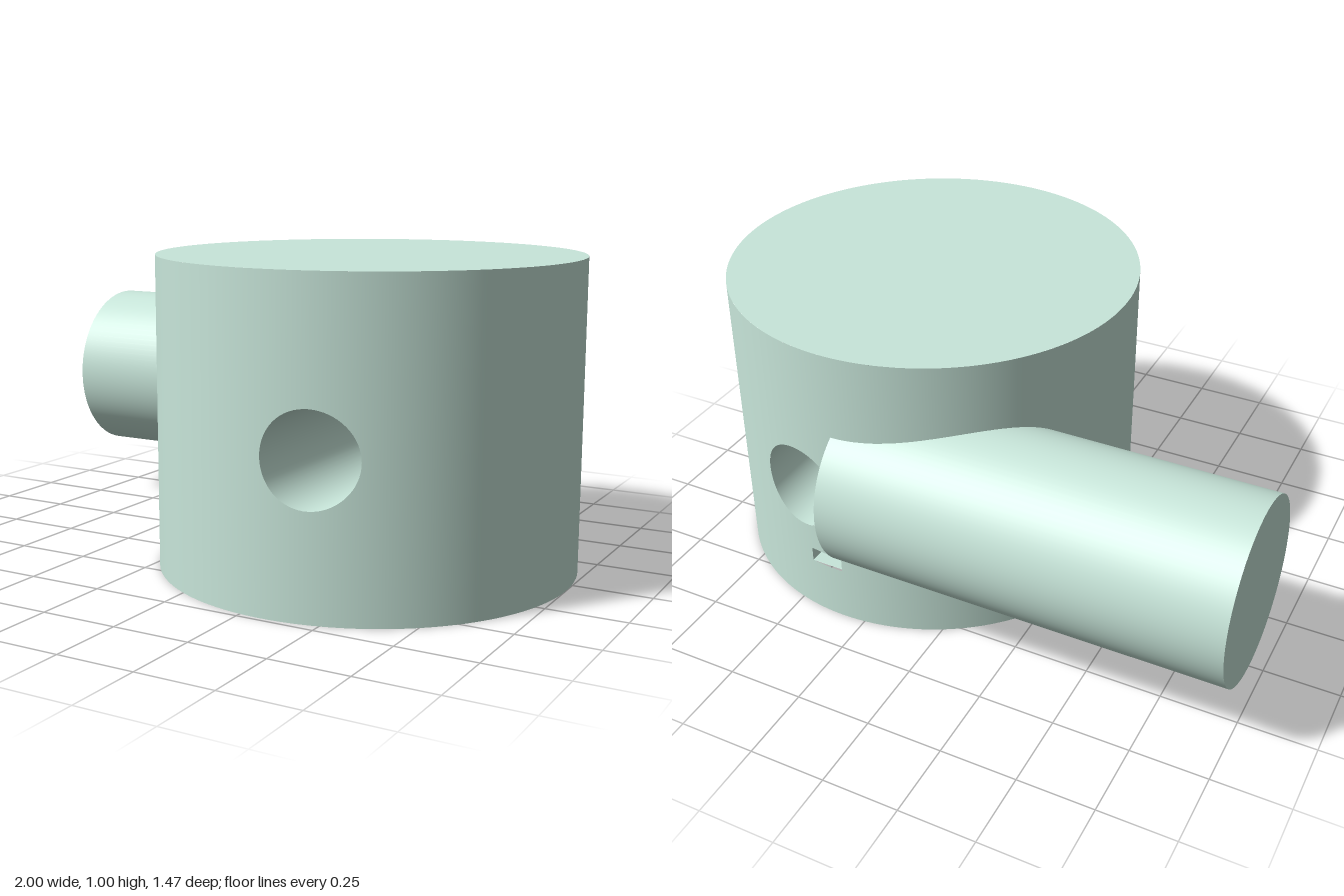
import * as THREE from 'three';

// Main body, cross hole, underside slot and small back pocket
const body = { x: 0.325, z: 0.06, r: 0.675, h: 1 };
const hole = { x: 0.465, y: 0.475, r: 0.145 };
const slot = { y: 0.16, z: 0.07, r: 0.235 };
const pocket = { x0: 0.32, x1: 0.435, y0: 0.19, y1: 0.24, z0: -0.607, z1: -0.5 };
const { sin, cos, asin, acos, sqrt, max, PI } = Math;

// Ruled strip: f(t) gives [lower point, upper point, normal]
function ribbon(n, f) {
  const pos = [], nor = [], idx = [];
  for (let i = 0; i <= n; i++) {
    const [p, q, m] = f(i / n);
    pos.push(...p, ...q);
    nor.push(...m, ...m);
    const a = i * 2;
    if (i < n) idx.push(a, a + 2, a + 1, a + 2, a + 3, a + 1);
  }
  const g = new THREE.BufferGeometry();
  g.setAttribute('position', new THREE.Float32BufferAttribute(pos, 3));
  g.setAttribute('normal', new THREE.Float32BufferAttribute(nor, 3));
  g.setIndex(idx);
  return g;
}

// Part of the round body wall between two angles and two height rules
function wallStrip(a0, a1, lo, hi) {
  const n = Math.ceil((a1 - a0) * 16) + 24;
  return ribbon(n, t => {
    const a = a0 + (a1 - a0) * (1 - cos(PI * t)) / 2;
    const x = body.x + body.r * sin(a), z = body.z + body.r * cos(a);
    return [[x, lo(x, z), z], [x, hi(x, z), z], [sin(a), 0, cos(a)]];
  });
}

export function createModel() {
  const group = new THREE.Group();
  const material = new THREE.MeshStandardMaterial({ color: 0xc8e6da });
  const add = (name, geometry, parent = group) => {
    const mesh = new THREE.Mesh(geometry, material);
    mesh.name = name;
    parent.add(mesh);
    return mesh;
  };

  // Body wall, left open where the cuts break through
  const angleAtX = x => asin((x - body.x) / body.r);
  const angleAtZ = z => 2 * PI - acos((z - body.z) / body.r);
  const f0 = angleAtX(hole.x - hole.r), f1 = angleAtX(hole.x + hole.r);
  const b0 = PI - f0, b1 = PI - f1, p1 = PI - angleAtX(pocket.x1);
  const s0 = angleAtZ(slot.z - slot.r), s1 = angleAtZ(slot.z + slot.r);
  const holeHalf = x => sqrt(max(0, hole.r ** 2 - (x - hole.x) ** 2));
  const slotHalf = z => sqrt(max(0, slot.r ** 2 - (z - slot.z) ** 2));
  const floor = () => 0, top = () => body.h;
  const holeLo = x => hole.y - holeHalf(x), holeHi = x => hole.y + holeHalf(x);
  const slotLo = (x, z) => max(0, slot.y - slotHalf(z));
  const slotHi = (x, z) => slot.y + slotHalf(z);
  const wall = new THREE.Group();
  wall.name = 'bodyWall';
  group.add(wall);
  [
    [f0, f1, floor, holeLo], [f0, f1, holeHi, top],
    [f1, b1, floor, top],
    [b1, b0, holeHi, top], [b1, p1, floor, holeLo],
    [p1, b0, floor, () => pocket.y0], [p1, b0, () => pocket.y1, holeLo],
    [b0, s0, floor, top],
    [s0, s1, floor, slotLo], [s0, s1, slotHi, top],
    [s1, f0 + 2 * PI, floor, top],
  ].forEach(s => add('wallSection', wallStrip(...s), wall));

  // Flat top
  add('bodyTop', new THREE.CircleGeometry(body.r, 128).rotateX(-PI / 2))
    .position.set(body.x, body.h, body.z);

  // Underside with the slot footprint cut out of it
  const w = sqrt(slot.r ** 2 - slot.y ** 2);
  const under = new THREE.Shape();
  under.absarc(body.x, body.z, body.r,
    -PI + asin((body.z - slot.z + w) / body.r),
    PI - asin((slot.z + w - body.z) / body.r), false);
  under.lineTo(body.x, slot.z + w);
  under.lineTo(body.x, slot.z - w);
  add('bodyUnderside', new THREE.ShapeGeometry(under, 128).rotateX(PI / 2));

  // Round slot running from the right side to the middle
  const a0 = -asin(slot.y / slot.r);
  add('slotSurface', ribbon(64, t => {
    const a = a0 + (PI - 2 * a0) * t;
    const y = slot.y + slot.r * sin(a), z = slot.z + slot.r * cos(a);
    const x = body.x - sqrt(body.r ** 2 - (z - body.z) ** 2);
    return [[x, y, z], [body.x, y, z], [0, -sin(a), -cos(a)]];
  }));
  const end = new THREE.Shape();
  end.absarc(slot.z, slot.y, slot.r, a0, PI - a0, false);
  add('slotEnd', new THREE.ShapeGeometry(end, 64).rotateY(-PI / 2)).position.x = body.x;

  // Hole passing through from front to back
  add('holeSurface', ribbon(64, t => {
    const a = 2 * PI * t;
    const x = hole.x + hole.r * cos(a), y = hole.y + hole.r * sin(a);
    const d = sqrt(body.r ** 2 - (x - body.x) ** 2);
    return [[x, y, body.z + d], [x, y, body.z - d], [-cos(a), -sin(a), 0]];
  }));

  // Small pocket in the back: an inside-out box without its outer face
  const box = new THREE.BoxGeometry(pocket.x1 - pocket.x0, pocket.y1 - pocket.y0, pocket.z1 - pocket.z0);
  box.setIndex([...box.index.array].slice(0, 30));
  box.scale(-1, 1, 1).computeVertexNormals();
  add('backPocket', box).position.set((pocket.x0 + pocket.x1) / 2,
    (pocket.y0 + pocket.y1) / 2, (pocket.z0 + pocket.z1) / 2);

  // Side arm, set off towards the back
  add('sideArm', new THREE.CylinderGeometry(0.291, 0.291, 1.32, 96).rotateZ(PI / 2))
    .position.set(-0.34, 0.477, -0.446);

  return group;
}
